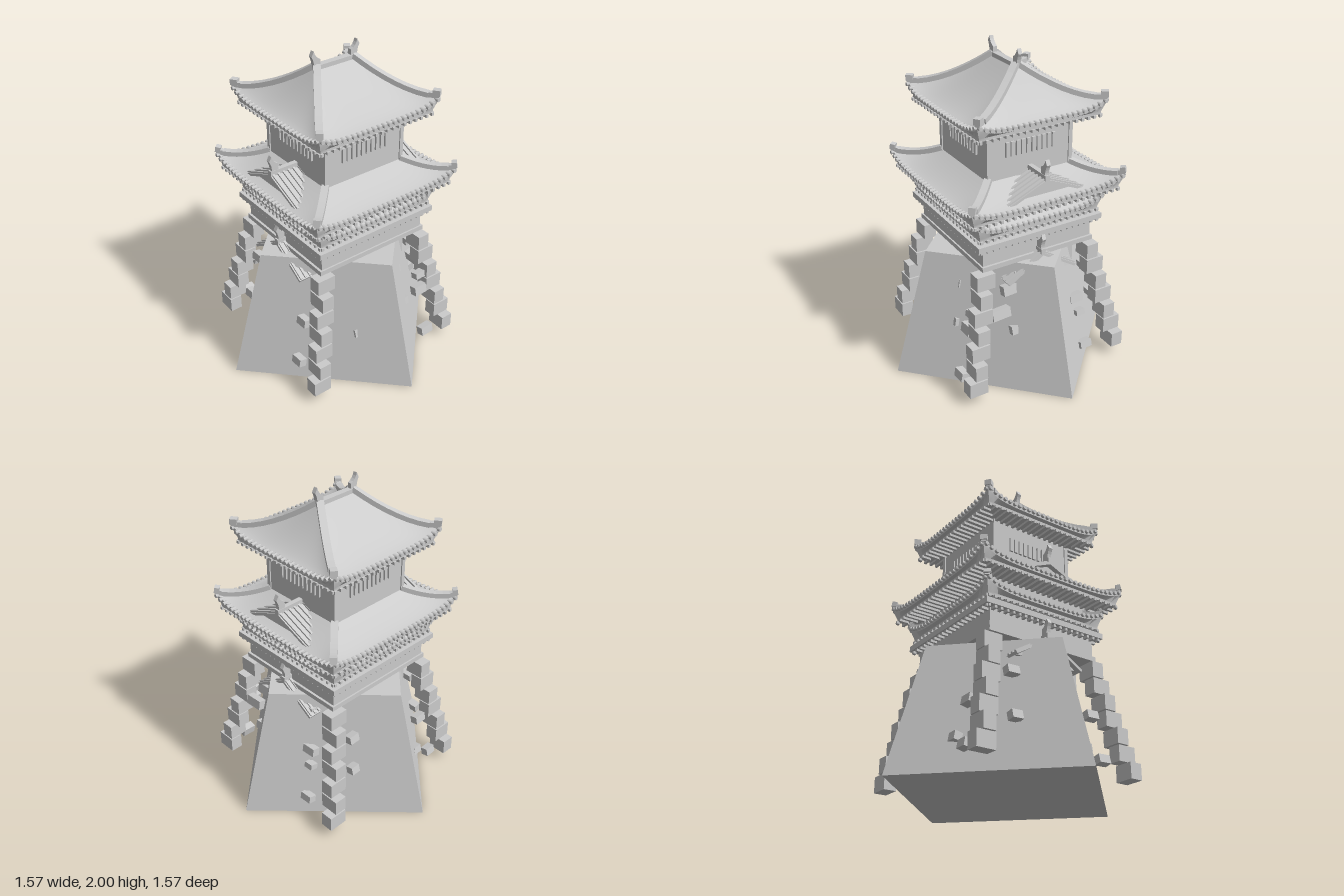
import * as THREE from 'three';
import { toCreasedNormals } from 'three/addons/utils/BufferGeometryUtils.js';

const stoneGrey = new THREE.MeshStandardMaterial({ color: 0xcccccc });
stoneGrey.name = 'stoneGrey';

function add(parent, name, geometry, x = 0, y = 0, z = 0) {
  const mesh = new THREE.Mesh(geometry, stoneGrey);
  mesh.name = name;
  mesh.position.set(x, y, z);
  parent.add(mesh);
  return mesh;
}

function group(parent, name) {
  const g = new THREE.Group();
  g.name = name;
  parent.add(g);
  return g;
}

const box = (parent, name, w, h, d, x, y, z) => add(parent, name, new THREE.BoxGeometry(w, h, d), x, y, z);

// Box running from point a to point b
function beam(parent, name, a, b, w, h) {
  const mesh = box(parent, name, w, h, a.distanceTo(b) + 0.008, 0, 0, 0);
  mesh.position.copy(a).lerp(b, 0.5);
  mesh.lookAt(b);
  return mesh;
}

// Upswept finial that leans toward +x
function finial(parent, x, y, dir) {
  const s = new THREE.Shape();
  s.moveTo(-0.022, 0);
  s.lineTo(0.022, 0);
  s.quadraticCurveTo(0.018, 0.035, 0.038, 0.07);
  s.lineTo(0.022, 0.1);
  s.quadraticCurveTo(0.012, 0.06, -0.022, 0.045);
  const geo = new THREE.ExtrudeGeometry(s, { depth: 0.026, bevelEnabled: false, curveSegments: 4 });
  geo.translate(0, 0, -0.013);
  const m = add(parent, 'finial', geo, x, y, 0);
  if (dir < 0) m.rotation.y = Math.PI;
}

// Rafters in four directions below an eave
function rafters(parent, inner, outer, y, count) {
  for (let k = 0; k < 4; k++) {
    const side = group(parent, 'rafterRow');
    side.rotation.y = k * Math.PI / 2;
    for (let i = 0; i < count; i++) {
      const x = (i / (count - 1) * 2 - 1) * (outer - 0.015);
      const start = Math.max(inner, Math.abs(x));
      box(side, 'rafter', 0.016, 0.018, outer - start + 0.004, x, y, (start + outer) / 2);
    }
  }
}

// Curved hipped roof: eave half-width a, top half sizes bx and bz
function roof(parent, name, o) {
  const g = group(parent, name);
  const { a, bx, bz, eave, top, under, wall, lift = 0.05 } = o;
  const place = (k, u, hx, hz, y) => [
    [u * hx, y, hz], [hx, y, -u * hz], [-u * hx, y, -hz], [-hx, y, u * hz]][k];
  const surface = (k, u, t) => place(k, u, a + (bx - a) * t, a + (bz - a) * t,
    eave + (top - eave) * Math.pow(t, 1.45) + lift * Math.pow(Math.abs(u), 5) * Math.pow(1 - t, 2));
  const steps = 12;
  for (let k = 0; k < 4; k++) {
    const geo = new THREE.PlaneGeometry(1, 1, 24, steps + 4);
    const p = geo.attributes.position, uv = geo.attributes.uv;
    for (let i = 0; i < p.count; i++) {
      const u = uv.getX(i) * 2 - 1, row = Math.round(uv.getY(i) * (steps + 4));
      let v;
      if (row === 0) v = place(k, u, wall, wall, under + 0.012);
      else if (row === 1) v = place(k, u, a - 0.02, a - 0.02, under + 0.012);
      else if (row === 2) v = place(k, u, a - 0.02, a - 0.02, under + 0.03);
      else {
        v = surface(k, u, Math.max(0, row - 4) / steps);
        if (row === 3) v[1] -= 0.022;
      }
      p.setXYZ(i, ...v);
    }
    add(g, 'roofSide', toCreasedNormals(geo, 0.6)).material = stoneGrey;

    // Round tile ends along the eave
    const count = Math.round(a * 2 / 0.037);
    for (let i = 0; i <= count; i++) {
      const v = surface(k, (i / count * 2 - 1) * 0.97, 0);
      const tile = add(g, 'tileEnd', new THREE.CylinderGeometry(0.012, 0.012, 0.034, 8), v[0], v[1] - 0.004, v[2]);
      tile.rotation.set(Math.PI / 2, 0, k % 2 ? Math.PI / 2 : 0);
    }

    // Hip ridge and upturned corner block
    const at = t => new THREE.Vector3(...surface(k, 1, t)).add(new THREE.Vector3(0, 0.012, 0));
    for (let i = 1; i < 8; i++) beam(g, 'hipRidge', at(i / 8), at((i + 1) / 8), 0.042, 0.03);
    const tip = at(0), back = at(0.12);
    beam(g, 'cornerRidge', tip, back, 0.03, 0.03);
    const block = beam(g, 'cornerBlock', tip.clone().lerp(back, -0.1), tip.clone().lerp(back, 0.5), 0.04, 0.035);
    block.position.y += 0.016;
  }
  rafters(g, wall, a - 0.012, under + 0.006, Math.round(a * 2 / 0.042));
  return g;
}

// Small tiled gable projecting toward +x or -x
function gable(parent, dir, peak, half, drop, x0, x1) {
  const g = group(parent, 'sideGable');
  const mid = (x0 + x1) / 2 * dir, len = x1 - x0;
  const s = new THREE.Shape();
  s.moveTo(-half * 0.9, peak - drop);
  s.lineTo(half * 0.9, peak - drop);
  s.lineTo(0, peak - 0.02);
  const face = new THREE.ExtrudeGeometry(s, { depth: len - 0.03, bevelEnabled: false });
  face.translate(0, 0, -(len - 0.03) / 2);
  add(g, 'gableFace', face, mid - 0.015 * dir).rotation.y = Math.PI / 2;
  for (const side of [-1, 1]) {
    const at = x => [new THREE.Vector3(x, peak - 0.008, 0), new THREE.Vector3(x, peak - drop, side * half)];
    beam(g, 'gableRoof', ...at(mid), len, 0.016);
    for (let i = 0; i < 6; i++) {
      const [p, q] = at((x0 + 0.015 + (len - 0.03) * i / 5) * dir);
      p.y += 0.012;
      q.y += 0.012;
      beam(g, 'gableTile', p, q, 0.014, 0.014);
    }
  }
  box(g, 'gableRidge', len, 0.035, 0.03, mid, peak + 0.008, 0);
  finial(g, (x1 - 0.03) * dir, peak + 0.02, dir);
}

export function createModel() {
  const model = new THREE.Group();
  model.name = 'castleTower';

  // Four-sided tapering stone base
  const base = new THREE.CylinderGeometry(0.555, 0.785, 0.8, 4).toNonIndexed();
  base.computeVertexNormals();
  add(model, 'stoneBase', base, 0, 0.4, 0);

  // Corner stones, stacked with alternating long sides
  const corners = group(model, 'cornerStones');
  for (const sx of [-1, 1]) for (const sz of [-1, 1]) for (let i = 0; i < 7; i++) {
    const d = 0.5 - 0.0217 * i;
    const long = (sx * sz < 0) === (i % 2 === 0);
    box(corners, 'cornerStone', long ? 0.12 : 0.08, 0.096, long ? 0.08 : 0.12, sx * d, 0.11 + 0.104 * i, sz * d);
  }

  // Loose stones on each side: along, height, width, tall
  const loose = [
    [[0.35, 0.1, 0.09, 0.055], [0.34, 0.5, 0.07, 0.04], [0.33, 0.4, 0.09, 0.06], [0.2, 0.38, 0.04, 0.05],
      [0.17, 0.62, 0.03, 0.05], [-0.2, 0.33, 0.03, 0.05]],
    [[-0.29, 0.51, 0.12, 0.06], [-0.21, 0.64, 0.1, 0.06], [-0.15, 0.73, 0.05, 0.03], [-0.21, 0.385, 0.05, 0.055],
      [0.24, 0.45, 0.09, 0.05], [0.26, 0.35, 0.06, 0.035], [0.28, 0.13, 0.08, 0.045], [0.18, 0.7, 0.08, 0.04]],
    [[0.355, 0.13, 0.07, 0.05], [0.24, 0.2, 0.06, 0.05], [0.3, 0.4, 0.08, 0.05], [-0.3, 0.35, 0.06, 0.05],
      [-0.27, 0.55, 0.07, 0.05]],
    [[0.3, 0.15, 0.08, 0.05], [0.28, 0.42, 0.08, 0.05], [-0.27, 0.3, 0.07, 0.05], [-0.25, 0.58, 0.08, 0.05]]];
  loose.forEach((stones, k) => {
    const side = group(model, 'looseStones');
    side.rotation.y = k * Math.PI / 2;
    for (const [x, y, w, h] of stones) {
      box(side, 'looseStone', w, h, 0.05, x, y, 0.535 - 0.21 * y).rotation.set(-0.2, 0, 0.04);
    }
  });

  // Lower storey
  box(model, 'lowerCore', 0.61, 0.4, 0.61, 0, 0.75, 0);
  box(model, 'lowerWall', 0.76, 0.24, 0.75, 0, 0.92, 0);
  box(model, 'lowerSill', 0.79, 0.03, 0.77, 0, 0.815, 0);
  box(model, 'lowerEaveBoard', 0.85, 0.035, 0.85, 0, 0.967, 0);
  rafters(model, 0.37, 0.415, 0.942, 20);
  roof(model, 'lowerRoof', { a: 0.425, bx: 0.33, bz: 0.33, eave: 1.065, top: 1.13, under: 1.0, wall: 0.36 });
  for (const dir of [-1, 1]) gable(model, dir, 0.84, 0.23, 0.15, 0.25, 0.44);

  // Middle storey
  box(model, 'middleWall', 0.72, 0.16, 0.72, 0, 1.1, 0);
  roof(model, 'middleRoof', { a: 0.51, bx: 0.28, bz: 0.28, eave: 1.21, top: 1.3, under: 1.152, wall: 0.35 });
  for (const dir of [-1, 1]) gable(model, dir, 1.325, 0.25, 0.115, 0.26, 0.465);

  // Upper storey with corner posts and slatted windows
  box(model, 'upperWall', 0.56, 0.4, 0.56, 0, 1.45, 0);
  for (const sx of [-1, 1]) for (const sz of [-1, 1]) {
    box(model, 'cornerPost', 0.025, 0.36, 0.025, sx * 0.275, 1.45, sz * 0.275);
  }
  for (let k = 0; k < 4; k++) {
    const win = group(model, 'window');
    win.rotation.y = k * Math.PI / 2;
    for (let i = 0; i < 10; i++) box(win, 'windowSlat', 0.022, 0.09, 0.014, -0.155 + i * 0.0345, 1.475, 0.285);
  }
  roof(model, 'topRoof', { a: 0.42, bx: 0.13, bz: 0.01, eave: 1.665, top: 1.895, under: 1.604, wall: 0.27 });

  // Main ridge with a finial on each end
  box(model, 'mainRidge', 0.3, 0.03, 0.04, 0, 1.898, 0);
  for (const dir of [-1, 1]) finial(model, dir * 0.13, 1.9, dir);

  return model;
}
